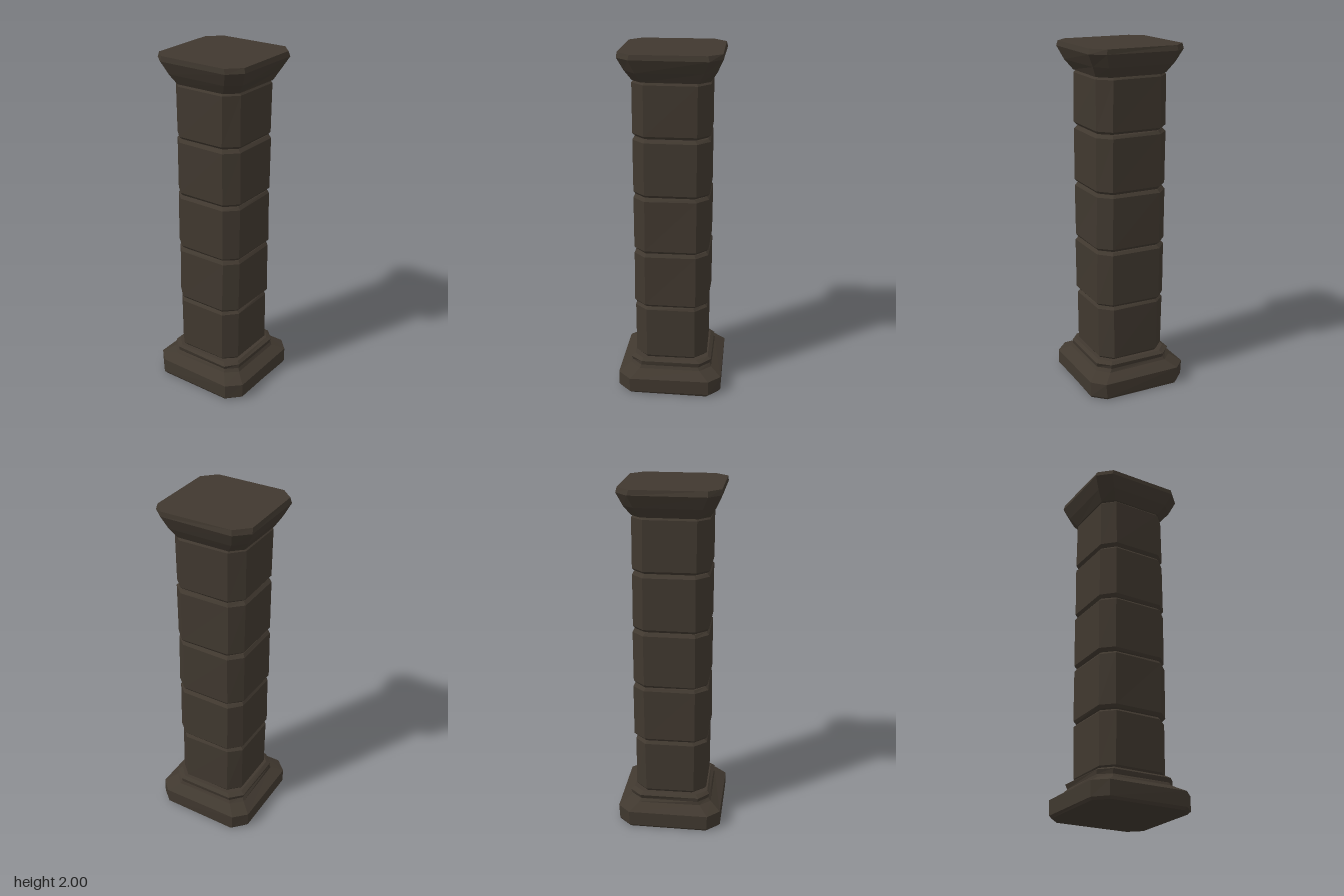
import * as THREE from 'three';

const stone = new THREE.MeshStandardMaterial({ color: 0x40382f, flatShading: true });
stone.name = 'darkStone';

// Small seeded generator for the hand-hewn unevenness
let seed = 7;
const wobble = (amount) => {
  seed = (seed * 16807) % 2147483647;
  return (seed / 2147483647 - 0.5) * 2 * amount;
};

// Chamfered square, counter-clockwise seen from below
function ring(half, chamfer, y, rough) {
  const a = half, b = half - chamfer;
  return [[a, b], [b, a], [-b, a], [-a, b], [-a, -b], [-b, -a], [b, -a], [a, -b]]
    .map(([x, z]) => [x + wobble(rough), y + wobble(rough * 0.4), z + wobble(rough)]);
}

// Capped loft through rings given as [y, half width, chamfer]
function loft(name, profile, rough, flatEnds = true) {
  const rings = profile.map(([y, half, chamfer], i) => {
    const points = ring(half, chamfer, y, rough);
    const end = i === 0 || i === profile.length - 1;
    if (flatEnds && end) points.forEach((p) => { p[1] = y; });
    return points;
  });
  const positions = rings.flat(2);
  const index = [];
  const last = (rings.length - 1) * 8;
  for (let r = 0; r < rings.length - 1; r++) {
    for (let i = 0; i < 8; i++) {
      const a = r * 8 + i, b = r * 8 + (i + 1) % 8;
      index.push(a, a + 8, b, b, a + 8, b + 8);
    }
  }
  for (let i = 1; i < 7; i++) {
    index.push(0, i, i + 1);
    index.push(last, last + i + 1, last + i);
  }
  const geometry = new THREE.BufferGeometry();
  geometry.setAttribute('position', new THREE.Float32BufferAttribute(positions, 3));
  geometry.setIndex(index);
  const flat = geometry.toNonIndexed();
  flat.computeVertexNormals();
  const mesh = new THREE.Mesh(flat, stone);
  mesh.name = name;
  return mesh;
}

export function createModel() {
  seed = 7;
  const model = new THREE.Group();
  model.name = 'stonePillar';

  // Stepped plinth
  model.add(loft('base', [
    [0, 0.292, 0.07], [0.015, 0.301, 0.07], [0.1, 0.302, 0.07],
    [0.138, 0.24, 0.062], [0.155, 0.23, 0.062], [0.18, 0.235, 0.062], [0.194, 0.216, 0.06],
  ], 0.004));

  // Five stacked shaft blocks with bevelled rims
  const joints = [0.192, 0.527, 0.863, 1.197, 1.532, 1.848];
  const shaft = new THREE.Group();
  shaft.name = 'shaft';
  for (let i = 0; i < 5; i++) {
    const y0 = joints[i] + 0.002, y1 = joints[i + 1] - 0.002;
    const half = i === 0 ? 0.209 : 0.214;
    shaft.add(loft('shaftBlock' + (i + 1), [
      [y0, half - 0.014, 0.062], [y0 + 0.016, half, 0.068],
      [y1 - 0.016, half, 0.068], [y1, half - 0.014, 0.062],
    ], 0.003, false));
  }
  model.add(shaft);

  // Flared capital
  model.add(loft('capital', [
    [1.843, 0.212, 0.06], [1.9, 0.25, 0.066], [1.972, 0.281, 0.072], [2, 0.277, 0.072],
  ], 0.004));

  return model;
}
